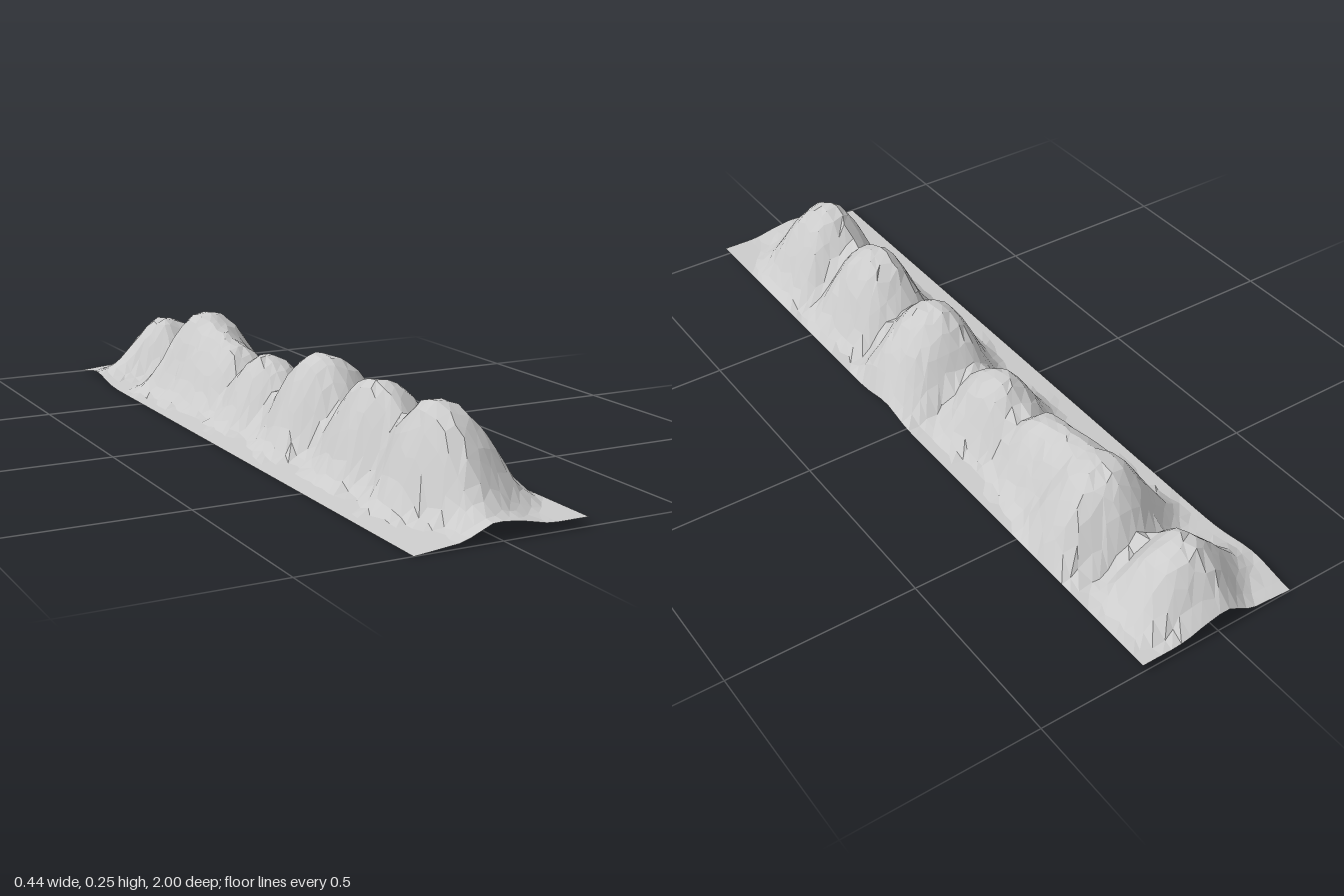
import * as THREE from 'three';

const HALF_WIDTH = 0.222;
const HALF_LENGTH = 1;
const { lerp, smoothstep } = THREE.MathUtils;

// Mounds along the ridge: centre x, centre z, peak height, radii to -x, +x, +z, -z
const MOUNDS = [
  [0.015, 0.71, 0.247, 0.145, 0.175, 0.21, 0.18],
  [0.02, 0.45, 0.243, 0.15, 0.16, 0.19, 0.2],
  [0.035, 0.14, 0.245, 0.17, 0.185, 0.185, 0.19],
  [0.02, -0.15, 0.188, 0.155, 0.135, 0.17, 0.15],
  [0.015, -0.36, 0.18, 0.15, 0.135, 0.15, 0.15],
  [0.02, -0.48, 0.2, 0.165, 0.145, 0.15, 0.15],
  [0.05, -0.60, 0.237, 0.2, 0.165, 0.16, 0.15],
  [0.01, -0.86, 0.175, 0.17, 0.17, 0.135, 0.13],
];
// Dome profile: relative distance from the peak, relative height
const DOME = [[0, 1], [0.2, 0.97], [0.4, 0.86], [0.65, 0.6], [0.85, 0.31], [1, 0.12], [1.2, 0]];
// Cross-section of the ground between the mounds: x, y
const GROUND = [[-0.22, 0.003], [-0.1, 0.015], [-0.02, 0.049], [0.05, 0.04], [0.12, 0.025], [0.22, 0.025]];

// Linear interpolation in a list of [position, value]
function sample(table, t) {
  if (t <= table[0][0]) return table[0][1];
  for (let i = 1; i < table.length; i++) {
    const [a, va] = table[i - 1];
    const [b, vb] = table[i];
    if (t <= b) return lerp(va, vb, (t - a) / (b - a));
  }
  return table[table.length - 1][1];
}

function makeRandom(seed) {
  return () => {
    seed = (seed * 16807) % 2147483647;
    return seed / 2147483647 - 0.5;
  };
}

// Ground, with one slight rise on each long edge
function groundAt(x, z) {
  return sample(GROUND, x)
    + 0.02 * smoothstep(x, 0.05, 0.22) * Math.exp(-(((z - 0.08) / 0.07) ** 2))
    + 0.022 * smoothstep(-x, 0.02, 0.22) * Math.exp(-(((z + 0.87) / 0.09) ** 2));
}

// Soft maximum of the mounds, which leaves rounded valleys between them
function moundAt(x, z) {
  let sum = 0;
  for (const [cx, cz, peak, left, right, front, back] of MOUNDS) {
    const dx = (x - cx) / (x < cx ? left : right);
    const dz = (z - cz) / (z > cz ? front : back);
    // Lobed outline keeps the rocky look
    const lobes = 1 + 0.04 * Math.sin(5 * Math.atan2(dz, dx) + cz * 20);
    sum += ((peak - 0.042) * sample(DOME, Math.hypot(dx, dz) * lobes)) ** 4;
  }
  return sum ** (1 / 4);
}

export function createModel() {
  const model = new THREE.Group();
  model.name = 'moundRidge';

  const geometry = new THREE.PlaneGeometry(2 * HALF_WIDTH, 2 * HALF_LENGTH, 16, 60);
  geometry.rotateX(-Math.PI / 2);
  const position = geometry.attributes.position;
  const random = makeRandom(4271);

  // Jitter the inner grid points for irregular facets, then lift them
  for (let i = 0; i < position.count; i++) {
    let x = position.getX(i);
    let z = position.getZ(i);
    const onSide = Math.abs(x) > HALF_WIDTH - 0.001;
    const onEnd = Math.abs(z) > HALF_LENGTH - 0.001;
    let roughness = 0;
    if (!onSide && !onEnd) {
      x += random() * 0.016;
      z += random() * 0.02;
      roughness = 0.04;
    }
    // The long edges follow the bare ground
    const mound = onSide ? 0 : moundAt(x, z);
    const y = groundAt(x, z) + mound * (1 + roughness * random());
    position.setXYZ(i, x, y, z);
  }

  // Settle the lowest point on the ground
  geometry.computeBoundingBox();
  geometry.translate(0, -geometry.boundingBox.min.y, 0);
  geometry.computeVertexNormals();

  const material = new THREE.MeshStandardMaterial({
    color: 0xcccccc, flatShading: true, side: THREE.DoubleSide,
  });
  const terrain = new THREE.Mesh(geometry, material);
  terrain.name = 'terrain';
  model.add(terrain);
  return model;
}
